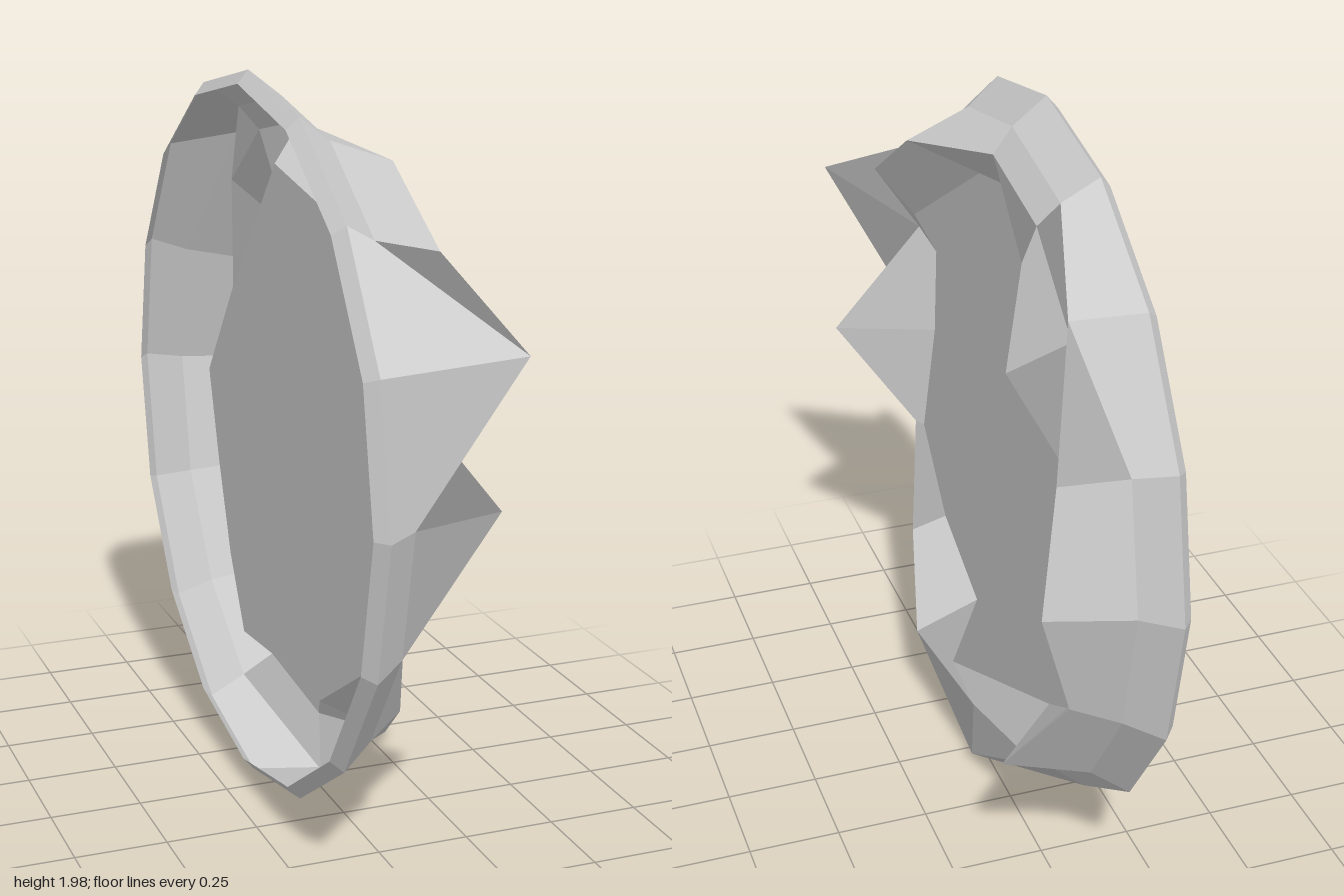
import * as THREE from 'three';

const SIDES = 16, CY = 1.005, CZ = -0.03;

// one ring of corners round the x axis, starting at the top and turning towards +z
function ring(radius, x, moved = {}) {
  return Array.from({ length: SIDES }, (_, i) => {
    const t = (i / SIDES) * Math.PI * 2;
    const r = Array.isArray(radius) ? radius[i] : radius;
    return moved[i] ?? new THREE.Vector3(Array.isArray(x) ? x[i] : x,
      CY + r * Math.cos(t), CZ + r * Math.sin(t));
  });
}

// each face is a list of triangle corners sharing one normal
function facetMesh(name, faces) {
  const position = [], normal = [];
  for (const { corners, n } of faces) {
    for (const p of corners) {
      position.push(p.x, p.y, p.z);
      normal.push(n.x, n.y, n.z);
    }
  }
  const geometry = new THREE.BufferGeometry();
  geometry.setAttribute('position', new THREE.Float32BufferAttribute(position, 3));
  geometry.setAttribute('normal', new THREE.Float32BufferAttribute(normal, 3));
  const mesh = new THREE.Mesh(geometry, new THREE.MeshStandardMaterial({
    color: 0xcccccc, side: THREE.DoubleSide,
  }));
  mesh.name = name;
  return mesh;
}

// four-sided facets between neighbouring rings
function band(name, rings) {
  const faces = [];
  for (let r = 0; r < rings.length - 1; r++) {
    for (let i = 0; i < SIDES; i++) {
      const j = (i + 1) % SIDES;
      const a = rings[r][i], b = rings[r][j], c = rings[r + 1][j], d = rings[r + 1][i];
      const n = c.clone().sub(a).cross(d.clone().sub(b)).normalize();
      faces.push({ corners: [a, b, d, b, c, d], n });
    }
  }
  return facetMesh(name, faces);
}

export function createModel() {
  const group = new THREE.Group();
  group.name = 'jaggedDish';

  const back = ring(0.935, -0.19);
  const outer = ring(0.97, -0.16);
  // three corners of the shoulder are pulled out into spikes
  const shoulder = ring(0.9, -0.07, {
    3: new THREE.Vector3(0.148, 1.435, 1.0),
    8: new THREE.Vector3(0.04, 0, -0.03),
    14: new THREE.Vector3(0.045, 1.71, -0.735),
  });
  const crest = ring(0.832, [-0.02, 0.108, 0.12, -0.06, 0.183, -0.04, 0.03, 0.103,
    0.035, 0.01, 0.155, 0.045, 0.145, 0.09, -0.01, -0.02]);
  const innerRadius = Array(SIDES).fill(0.725);
  innerRadius[2] = 0.685;
  innerRadius[5] = 0.705;
  innerRadius[8] = 0.67;
  innerRadius[13] = 0.695;
  innerRadius[14] = 0.665;
  innerRadius[15] = 0.71;
  const inner = ring(innerRadius, [-0.09, -0.08, 0.04, -0.08, -0.09, -0.03, -0.05, -0.07,
    0.095, -0.09, -0.05, -0.03, -0.04, 0.01, 0.11, 0]);

  // hollow rim, open at the back
  group.add(band('outerRim', [back, outer, shoulder]));
  group.add(band('jaggedRidge', [shoulder, crest, inner]));

  // floor fanned from one corner, with two raised corners as small flaps
  const corners = [inner[13], inner[14], inner[15], inner[1], inner[2], inner[3]];
  const loop = [15, 0, 1, 3, 4, 5, 6, 7, 8, 9, 10, 11, 12];
  for (let k = 0; k < loop.length - 1; k++) corners.push(inner[13], inner[loop[k]], inner[loop[k + 1]]);
  group.add(facetMesh('discFloor', [{ corners, n: new THREE.Vector3(1, 0, 0) }]));

  return group;
}
